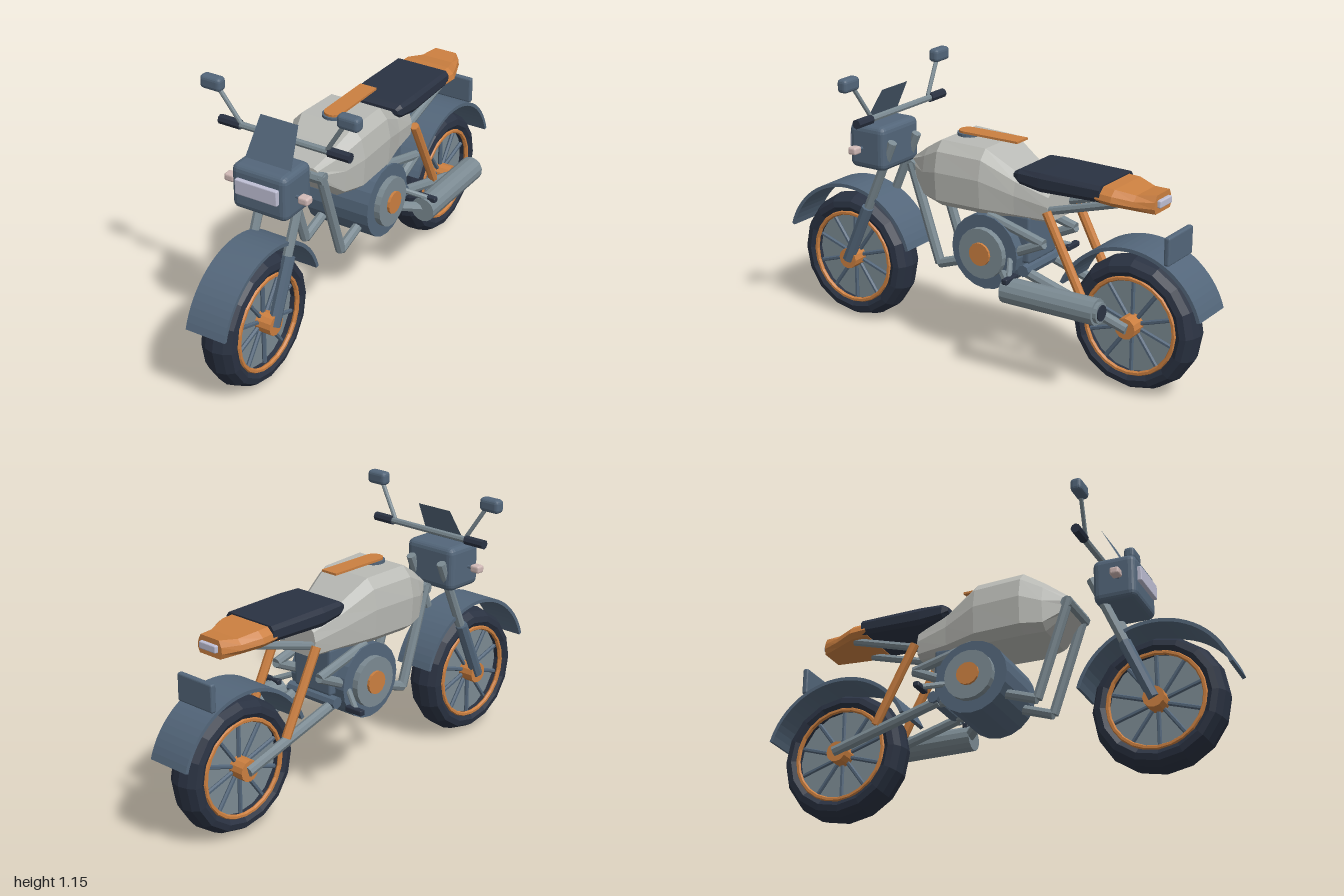
import * as THREE from 'three';
import { RoundedBoxGeometry } from 'three/addons/geometries/RoundedBoxGeometry.js';

const V = (x, y, z) => new THREE.Vector3(x, y, z);

function material(name, color, extra = {}) {
  const m = new THREE.MeshStandardMaterial({ color, flatShading: true, ...extra });
  m.name = name;
  return m;
}

export function createModel() {
  const slate = material('slate', 0x53667a, { side: THREE.DoubleSide });
  const steel = material('steel', 0x7b8a92);
  const navy = material('navy', 0x2a3242);
  const cream = material('tank grey', 0xb9bab5);
  const orange = material('orange', 0xcb7f40);
  const lens = material('lens', 0xbfbfd4);
  const pink = material('indicator pink', 0xd0b9b6);

  const bike = new THREE.Group();
  bike.name = 'motorcycle';

  function add(name, geometry, mat, pos = V(0, 0, 0), parent = bike) {
    const mesh = new THREE.Mesh(geometry, mat);
    mesh.name = name;
    mesh.position.copy(pos);
    parent.add(mesh);
    return mesh;
  }
  const box = (name, mat, w, h, d, pos, r = 0.012) =>
    add(name, new RoundedBoxGeometry(w, h, d, 2, r), mat, pos);

  // Round bar between two points
  function bar(name, mat, a, b, r, sides = 8, parent = bike) {
    const dir = b.clone().sub(a);
    const mesh = add(name, new THREE.CylinderGeometry(r, r, dir.length(), sides), mat,
      a.clone().add(b).multiplyScalar(0.5), parent);
    mesh.quaternion.setFromUnitVectors(V(0, 1, 0), dir.normalize());
    return mesh;
  }
  function path(name, mat, points, r) {
    for (let i = 1; i < points.length; i++) bar(name, mat, points[i - 1], points[i], r);
  }

  // Skin over sections [z, yBottom, yTop, halfWidth], ordered from back to front
  function loft(name, mat, sections, half) {
    const ring = [...half, ...half.map(([x, y]) => [-x, y]).reverse()];
    const n = ring.length, pos = [], idx = [];
    for (const [z, y0, y1, w] of sections)
      for (const [x, y] of ring) pos.push(x * w, y0 + y * (y1 - y0), z);
    const last = (sections.length - 1) * n;
    for (let s = 0; s < last; s += n)
      for (let i = 0; i < n; i++) {
        const j = (i + 1) % n;
        idx.push(s + i, s + j, s + n + j, s + i, s + n + j, s + n + i);
      }
    for (let i = 1; i < n - 1; i++) idx.push(0, i + 1, i, last, last + i, last + i + 1);
    const g = new THREE.BufferGeometry();
    g.setAttribute('position', new THREE.Float32BufferAttribute(pos, 3));
    g.setIndex(idx);
    g.computeVertexNormals();
    return add(name, g, mat);
  }

  // Wheels: tyre, rim rings, disc, spokes and hub
  function wheel(name, z) {
    const g = new THREE.Group();
    g.name = name;
    g.position.set(0, 0.28, z);
    bike.add(g);
    const profile = [[0.2, -0.062], [0.225, -0.076], [0.25, -0.07], [0.268, -0.04], [0.277, 0],
      [0.268, 0.04], [0.25, 0.07], [0.225, 0.076], [0.2, 0.062], [0.2, -0.062]];
    add('tyre', new THREE.LatheGeometry(profile.map(p => new THREE.Vector2(...p)), 16)
      .rotateZ(Math.PI / 2), navy, V(0, 0, 0), g);
    bar('wheelDisc', steel, V(-0.03, 0, 0), V(0.03, 0, 0), 0.202, 24, g);
    bar('hub', orange, V(-0.1, 0, 0), V(0.1, 0, 0), 0.044, 12, g);
    for (const s of [-1, 1]) {
      add('rim', new THREE.TorusGeometry(0.196, 0.01, 6, 24).rotateY(Math.PI / 2), orange,
        V(s * 0.064, 0, 0), g);
      for (let i = 0; i < 10; i++) {
        const a = (i + 0.5) * Math.PI / 5, y = Math.sin(a), c = Math.cos(a);
        bar('spoke', slate, V(s * 0.04, y * 0.035, c * 0.035), V(s * 0.04, y * 0.195, c * 0.195),
          0.009, 6, g);
      }
    }
  }
  wheel('frontWheel', 0.685);
  wheel('rearWheel', -0.68);

  // Arched mudguards
  function fender(name, z, fromDeg, toDeg, halfWidth) {
    const a = THREE.MathUtils.degToRad(fromDeg), b = THREE.MathUtils.degToRad(toDeg);
    const shape = new THREE.Shape();
    shape.absarc(0, 0, 0.33, a, b, false);
    shape.absarc(0, 0, 0.315, b, a, true);
    const g = new THREE.ExtrudeGeometry(shape,
      { depth: halfWidth * 2, bevelEnabled: false, curveSegments: 14 });
    add(name, g.translate(0, 0, -halfWidth).rotateY(-Math.PI / 2), slate, V(0, 0.28, z));
  }
  fender('frontFender', 0.685, 17, 163, 0.088);
  fender('rearFender', -0.685, 23, 163, 0.097);
  box('rearPlate', slate, 0.19, 0.115, 0.025, V(0, 0.628, -0.847), 0.008);

  // Fuel tank with cap and top strip
  loft('tank', cream, [
    [-0.32, 0.635, 0.76, 0.1], [-0.18, 0.632, 0.815, 0.125], [-0.04, 0.63, 0.9, 0.165],
    [0.165, 0.63, 0.905, 0.175], [0.25, 0.64, 0.855, 0.14], [0.347, 0.735, 0.79, 0.08],
  ], [[0.7, 0], [0.95, 0.12], [1, 0.55], [0.9, 0.85], [0.68, 1]]);
  bar('fillerCap', slate, V(0, 0.895, 0.12), V(0, 0.916, 0.12), 0.046, 16);
  add('tankStrip', new THREE.BoxGeometry(0.076, 0.009, 0.26), orange, V(0, 0.921, -0.01));
  bar('tankStripEnd', orange, V(0, 0.9165, 0.12), V(0, 0.9255, 0.12), 0.038, 16);

  // Seat and tail
  const rounded = [[0.9, 0], [1, 0.25], [1, 0.75], [0.9, 1]];
  loft('seat', navy, [[-0.57, 0.778, 0.843, 0.128], [-0.3, 0.77, 0.847, 0.13],
    [-0.2, 0.785, 0.845, 0.125], [-0.175, 0.805, 0.83, 0.115]], rounded);
  loft('tail', orange, [[-0.775, 0.752, 0.826, 0.066], [-0.7, 0.76, 0.818, 0.096],
    [-0.62, 0.77, 0.834, 0.13], [-0.55, 0.775, 0.838, 0.13]],
  [[0.85, 0], [1, 0.3], [0.95, 0.65], [0.75, 1]]);
  box('tailLight', lens, 0.09, 0.03, 0.02, V(0, 0.79, -0.78), 0.005);

  // Headlamp, screen and handlebar
  box('headlamp', slate, 0.25, 0.19, 0.18, V(0, 0.805, 0.55), 0.028);
  box('headlampLens', lens, 0.19, 0.064, 0.03, V(0, 0.818, 0.642), 0.005);
  const screen = new THREE.BufferGeometry();
  screen.setAttribute('position', new THREE.Float32BufferAttribute(
    [-0.105, 0.89, 0.575, 0.105, 0.89, 0.575, 0.085, 1.052, 0.49, -0.085, 1.052, 0.49], 3));
  screen.setIndex([0, 1, 2, 0, 2, 3]);
  screen.computeVertexNormals();
  add('screen', screen, slate);
  bar('handlebar', steel, V(-0.21, 0.96, 0.46), V(0.21, 0.96, 0.46), 0.014);

  // Engine
  bar('engineCase', slate, V(-0.145, 0.48, -0.055), V(0.145, 0.48, -0.055), 0.156, 20);
  box('engineBlock', slate, 0.2, 0.2, 0.24, V(0, 0.55, -0.12));

  // Exhaust silencer with dark outlet
  bar('silencer', steel, V(0.222, 0.38, -0.63), V(0.222, 0.38, -0.21), 0.053, 14);
  bar('silencerTip', steel, V(0.222, 0.38, -0.645), V(0.222, 0.38, -0.63), 0.042, 14);
  bar('silencerOutlet', navy, V(0.222, 0.38, -0.65), V(0.222, 0.38, -0.644), 0.032, 14);
  bar('exhaustPipe', steel, V(0.12, 0.41, -0.13), V(0.21, 0.38, -0.23), 0.022);

  // Cross tubes of the frame
  bar('headTube', steel, V(-0.1, 0.755, 0.34), V(0.1, 0.755, 0.34), 0.026);
  bar('forkBridge', steel, V(-0.085, 0.74, 0.485), V(0.085, 0.74, 0.485), 0.022);
  bar('swingArmPivot', slate, V(-0.13, 0.43, -0.23), V(0.13, 0.43, -0.23), 0.025);

  // Mirrored parts
  for (const s of [-1, 1]) {
    const p = (x, y, z) => V(s * x, y, z);
    bar('upperFork', steel, p(0.083, 0.835, 0.443), p(0.083, 0.42, 0.624), 0.02);
    bar('lowerFork', slate, p(0.09, 0.53, 0.576), p(0.09, 0.275, 0.687), 0.026);
    bar('grip', navy, p(0.2, 0.96, 0.46), p(0.295, 0.96, 0.46), 0.02);
    bar('mirrorStem', steel, p(0.195, 0.97, 0.465), p(0.285, 1.11, 0.482), 0.009);
    box('mirror', slate, 0.095, 0.057, 0.048, p(0.306, 1.124, 0.485), 0.016);
    box('indicator', pink, 0.046, 0.032, 0.04, p(0.167, 0.801, 0.575), 0.009);
    bar('indicatorStem', slate, p(0.11, 0.801, 0.57), p(0.15, 0.801, 0.57), 0.007);

    path('frameTube', steel, [p(0.085, 0.77, 0.345), p(0.085, 0.36, 0.205),
      p(0.085, 0.41, 0.06), p(0.085, 0.42, -0.22)], 0.021);
    path('rearFrameTube', steel, [p(0.12, 0.63, -0.06), p(0.12, 0.56, -0.32),
      p(0.12, 0.5, -0.19)], 0.02);
    bar('seatRail', steel, p(0.08, 0.64, -0.16), p(0.08, 0.772, -0.62), 0.017);
    bar('swingArm', steel, p(0.1, 0.42, -0.22), p(0.1, 0.28, -0.69), 0.022);
    bar('shockAbsorber', orange, p(0.11, 0.69, -0.325), p(0.11, 0.36, -0.495), 0.019);

    bar('engineCover', steel, p(0.14, 0.48, -0.055), p(0.172, 0.48, -0.055), 0.105, 20);
    bar('engineCap', orange, p(0.165, 0.48, -0.055), p(0.183, 0.48, -0.055), 0.048, 14);

    bar('footPegStrut', steel, p(0.13, 0.475, -0.17), p(0.23, 0.432, -0.23), 0.012);
    box('footPeg', navy, 0.085, 0.024, 0.026, p(0.23, 0.43, -0.235), 0.006);
  }
  return bike;
}
